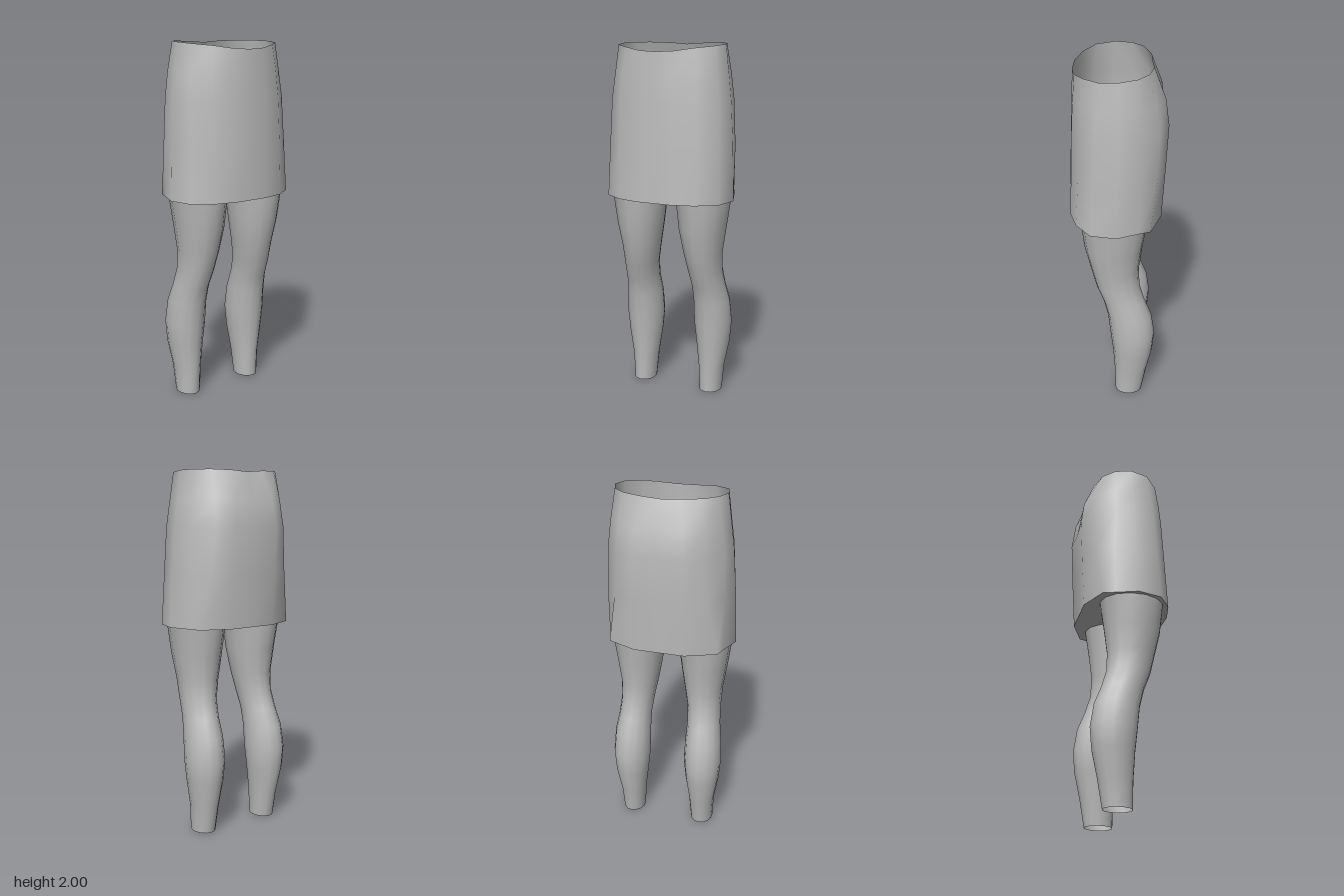
import * as THREE from 'three';

const fabric = new THREE.MeshStandardMaterial({ color: 0xbcbcbc, side: THREE.DoubleSide });
fabric.name = 'grey fabric';

// Smooth open tube through closed rings listed from bottom to top,
// each ring running front, left (+x), back, right.
function loft(rings) {
  const n = rings[0].length, index = [];
  for (let i = 0; i < rings.length - 1; i++) {
    for (let j = 0; j < n; j++) {
      const a = i * n + j, b = i * n + (j + 1) % n;
      index.push(a, b, b + n, a, b + n, a + n);
    }
  }
  const geo = new THREE.BufferGeometry();
  geo.setAttribute('position', new THREE.Float32BufferAttribute(rings.flat(2), 3));
  geo.setIndex(index);
  geo.computeVertexNormals();
  return geo;
}

// Flat panel filling a ring at height y.
function panel(ring, y) {
  const shape = new THREE.Shape(ring.map(([x, , z]) => new THREE.Vector2(x, -z)));
  return new THREE.ShapeGeometry(shape).rotateX(-Math.PI / 2).translate(0, y, 0);
}

function add(parent, name, geometry) {
  const mesh = new THREE.Mesh(geometry, fabric);
  mesh.name = name;
  parent.add(mesh);
}

// Half outline [x, z] from front centre to back centre, mirrored to a full ring.
function mirrored(half, yAt) {
  const left = half.map(([x, z], i) => [x, yAt(i), z]);
  const right = left.slice(1, -1).reverse().map(([x, y, z]) => [-x, y, z]);
  return [...left, ...right];
}

function makeSkirt() {
  const waistY = [1.96, 1.965, 1.98, 1.99, 1.997, 2, 2, 1.997, 1.99];
  const outlines = [
    [1.16, [[0, .26], [.1, .26], [.225, .23], [.335, .155], [.368, .02], [.325, -.1], [.305, -.165], [.14, -.235], [0, -.235]]],
    [1.45, [[0, .252], [.1, .25], [.23, .212], [.325, .14], [.358, .015], [.325, -.11], [.255, -.2], [.14, -.251], [0, -.248]]],
    [1.7, [[0, .243], [.1, .24], [.225, .2], [.317, .125], [.342, .01], [.318, -.1], [.235, -.21], [.14, -.262], [0, -.255]]],
    [1.84, [[0, .236], [.1, .23], [.215, .19], [.3, .115], [.325, .005], [.3, -.1], [.225, -.19], [.125, -.243], [0, -.226]]],
    [0, [[0, .23], [.1, .22], [.2, .175], [.285, .1], [.305, 0], [.275, -.09], [.21, -.15], [.1, -.182], [0, -.18]]],
  ];
  const rings = outlines.map(([y, half]) => mirrored(half, i => y || waistY[i]));
  const skirt = new THREE.Group();
  skirt.name = 'skirt';
  add(skirt, 'skirtWall', loft(rings));
  add(skirt, 'skirtUnderside', panel(rings[0], 1.16));
  return skirt;
}

// Leg sections: [y, inner x, outer x, front z, back z]
const SECTIONS = [
  [0, .15, .278, .018, -.14],
  [.15, .14, .287, .022, -.166],
  [.3, .12, .314, .032, -.198],
  [.42, .108, .324, .046, -.208],
  [.55, .111, .316, .06, -.188],
  [.65, .114, .301, .085, -.148],
  [.75, .104, .295, .124, -.118],
  [.86, .083, .3, .152, -.114],
  [1, .06, .322, .186, -.132],
  [1.165, .042, .345, .206, -.157],
];

function makeLeg(side) {
  const N = 14;
  const rings = SECTIONS.map(([y, xi, xo, zf, zb]) => Array.from({ length: N }, (_, j) => {
    const t = j / N * Math.PI * 2;
    return [
      side * (xi + xo) / 2 + Math.sin(t) * (xo - xi) / 2,
      y,
      (zf + zb) / 2 + Math.cos(t) * (zf - zb) / 2,
    ];
  }));
  const leg = new THREE.Group();
  leg.name = side > 0 ? 'leftLeg' : 'rightLeg';
  add(leg, 'legging', loft(rings));
  add(leg, 'legTop', panel(rings[rings.length - 1], 1.165));
  return leg;
}

export function createModel() {
  const model = new THREE.Group();
  model.name = 'skirtWithLeggings';
  model.add(makeSkirt(), makeLeg(1), makeLeg(-1));
  return model;
}
